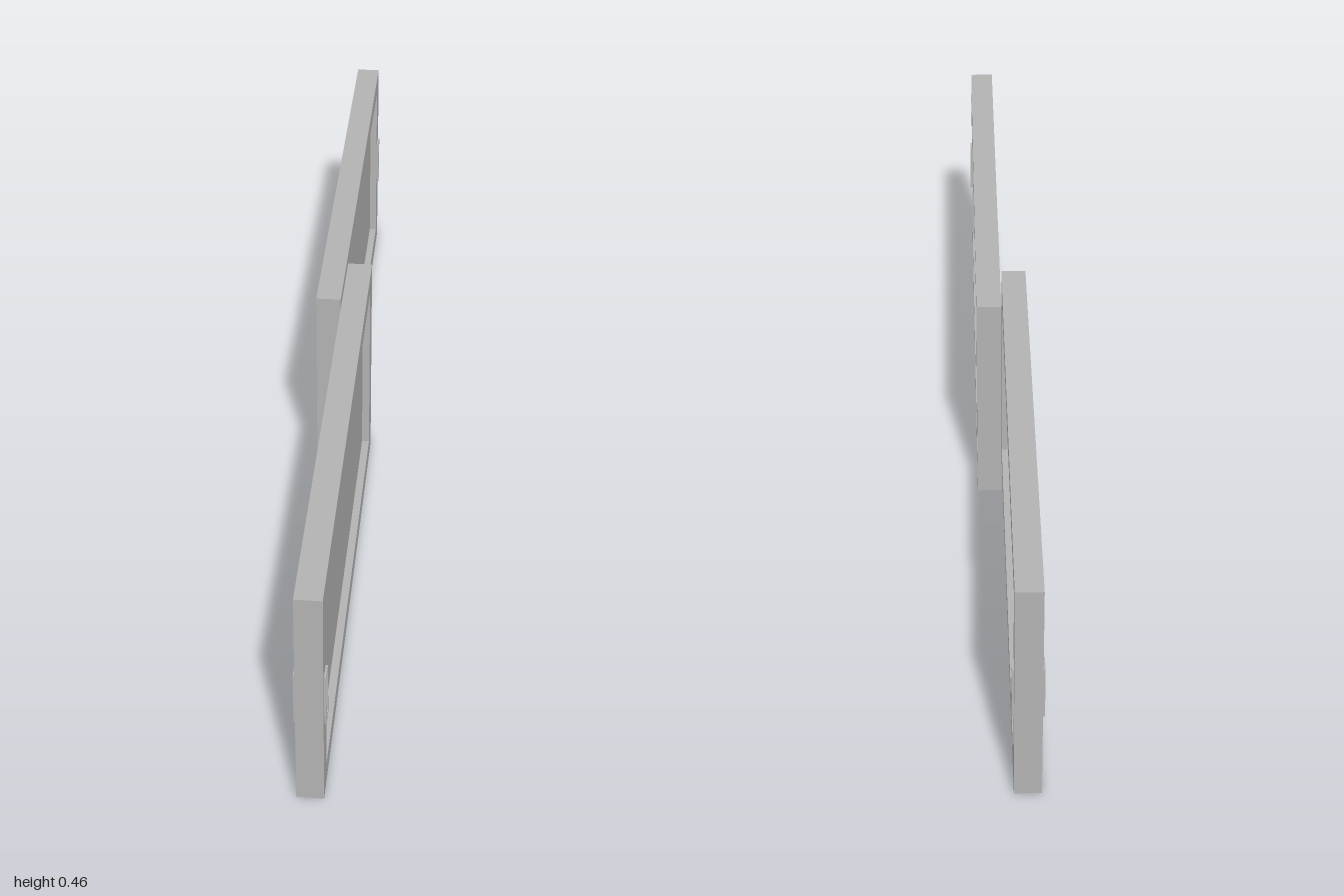
import * as THREE from 'three';

const HEIGHT = 0.457;
const DEPTH = 0.05;

// Rectangle spanning z0..z1 and y0..y1 (shape u axis is -z)
function rect(Type, z0, z1, y0, y1) {
  const p = new Type();
  p.moveTo(-z1, y0);
  p.lineTo(-z0, y0);
  p.lineTo(-z0, y1);
  p.lineTo(-z1, y1);
  p.closePath();
  return p;
}

// Extrude a z/y outline along x, centred on x = 0
function slab(shape, depth) {
  const g = new THREE.ExtrudeGeometry(shape, { depth, bevelEnabled: false });
  g.translate(0, 0, -depth / 2);
  g.rotateY(Math.PI / 2);
  return g;
}

export function createModel() {
  const model = new THREE.Group();
  model.name = 'slidingWindow';
  const grey = new THREE.MeshStandardMaterial({ name: 'grey', color: 0xb3b3b3 });

  const add = (parent, name, geometry) => {
    const mesh = new THREE.Mesh(geometry, grey);
    mesh.name = name;
    parent.add(mesh);
    return mesh;
  };

  // One sash reaching from z = 1 back by its length, with a pull at the far end
  function makeSash(name, length) {
    const sash = new THREE.Group();
    sash.name = name;
    const back = 1 - length;
    const pull = [0.96, 0.983, 0.177, 0.27];

    // Frame with openings for the pane and the finger pull
    const frame = rect(THREE.Shape, back, 1, 0, HEIGHT);
    frame.holes.push(rect(THREE.Path, back + 0.05, 0.95, 0.04, 0.418));
    frame.holes.push(rect(THREE.Path, ...pull));
    add(sash, 'frame', slab(frame, DEPTH));

    // Pane set back from both faces
    add(sash, 'pane', slab(rect(THREE.Shape, back + 0.05, 0.95, 0.04, 0.418), 0.02));

    // Shallow floor of the finger pull
    add(sash, 'pullFloor', slab(rect(THREE.Shape, ...pull), 0.036));

    // Raised rim around the pull on each face
    const rim = rect(THREE.Shape, 0.955, 0.988, 0.17, 0.277);
    rim.holes.push(rect(THREE.Path, ...pull));
    for (const side of [-1, 1]) {
      add(sash, 'pullRim', slab(rim, 0.004)).position.x = side * (DEPTH / 2 + 0.002);
    }
    return sash;
  }

  // Two sashes on neighbouring tracks, overlapping in the middle
  const leftSash = makeSash('leftSash', 1.088);
  leftSash.position.x = 0.026;
  const rightSash = makeSash('rightSash', 1.055);
  rightSash.rotation.y = Math.PI;
  rightSash.position.x = -0.027;
  model.add(leftSash, rightSash);
  return model;
}
